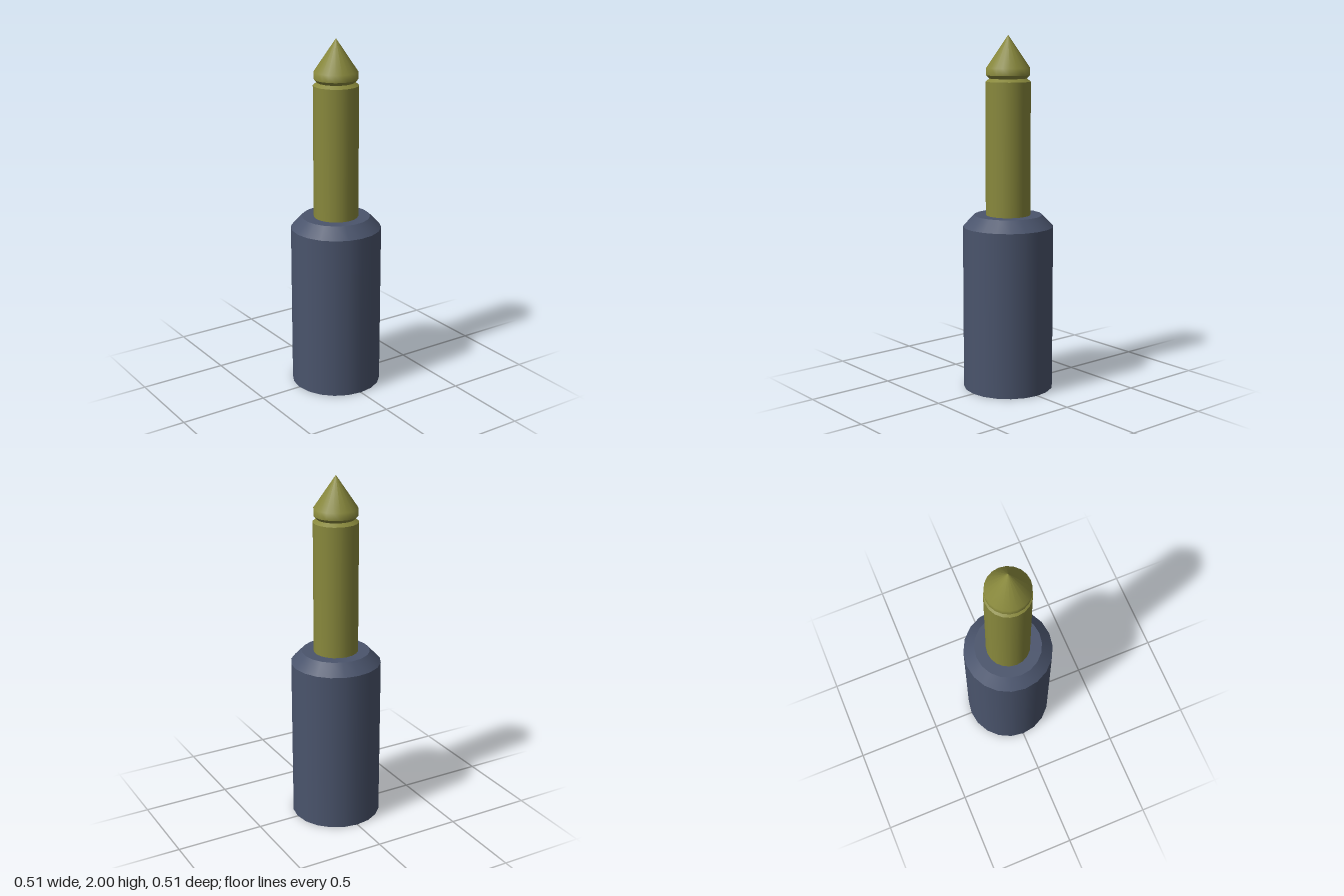
import * as THREE from 'three';

const SIDES = 20;

// Revolves a profile, listed from bottom to top, around the y axis
function turned(name, profile, material) {
  const points = profile.map(([r, y]) => new THREE.Vector2(r, y));
  const mesh = new THREE.Mesh(new THREE.LatheGeometry(points, SIDES), material);
  mesh.name = name;
  return mesh;
}

export function createModel() {
  const model = new THREE.Group();
  model.name = 'plugPin';

  const sleeveMaterial = new THREE.MeshStandardMaterial({ color: 0x4a546c });
  const pinMaterial = new THREE.MeshStandardMaterial({ color: 0x88883c });

  // Separate sections keep the rims sharp while the round sides stay smooth
  const sleeve = new THREE.Group();
  sleeve.name = 'sleeve';
  sleeve.add(
    turned('sleeveBase', [[0, 0], [0.255, 0]], sleeveMaterial),
    turned('sleeveSide', [[0.255, 0], [0.255, 0.935]], sleeveMaterial),
    turned('sleeveChamfer', [[0.255, 0.935], [0.192, 1]], sleeveMaterial),
    turned('sleeveTop', [[0.192, 1], [0, 1]], sleeveMaterial),
  );

  const pin = new THREE.Group();
  pin.name = 'pin';
  pin.add(
    turned('shaft', [[0.126, 1], [0.126, 1.745]], pinMaterial),
    turned('shaftChamfer', [[0.126, 1.745], [0.104, 1.762]], pinMaterial),
    turned('grooveUnderside', [[0.104, 1.762], [0.122, 1.78]], pinMaterial),
    // Pointed tip, shaded smoothly into its short rim
    turned('tip', [[0.122, 1.78], [0.122, 1.82], [0, 2]], pinMaterial),
  );

  model.add(sleeve, pin);
  return model;
}
